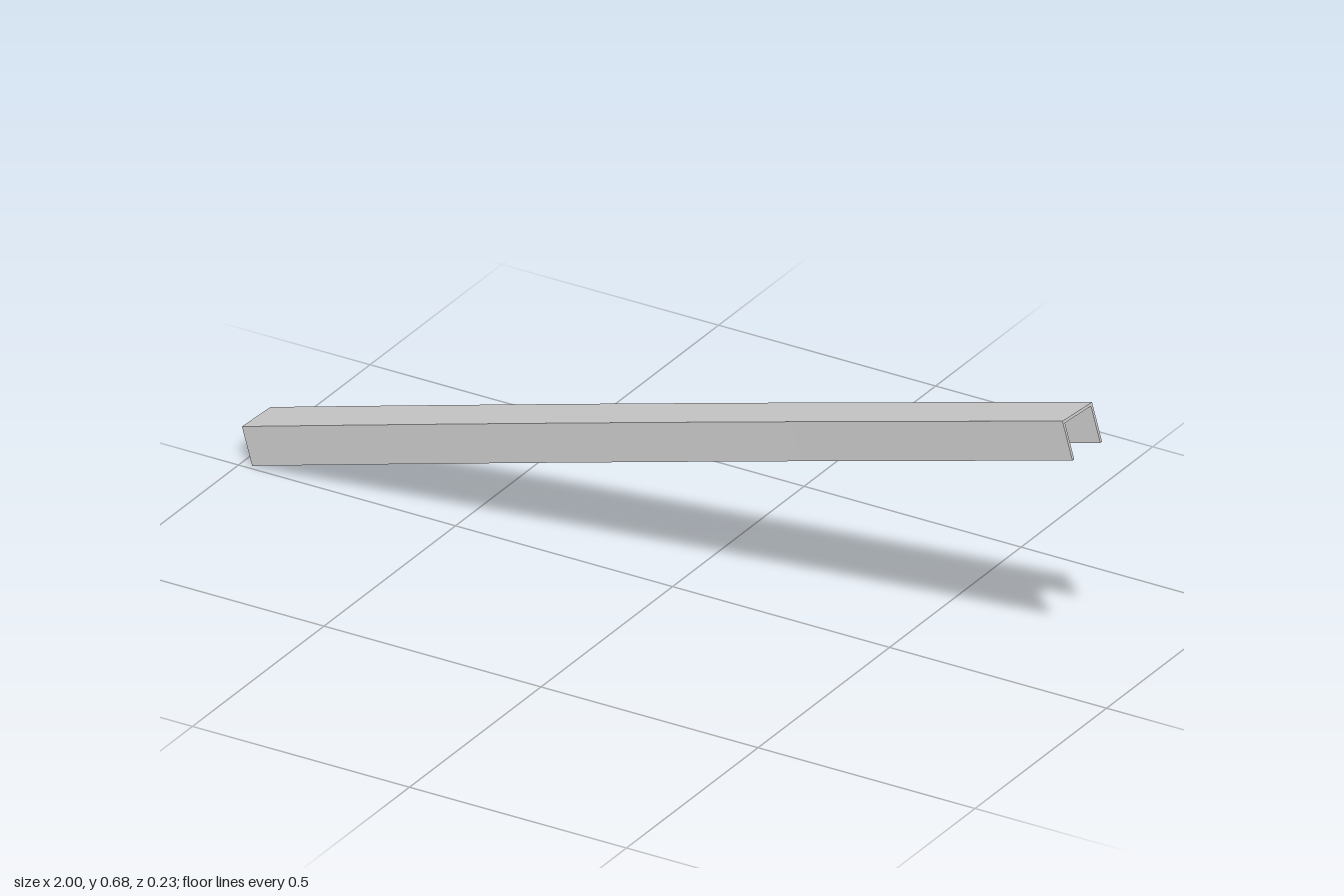
import * as THREE from 'three';

const WIDTH = 0.1, HEIGHT = 0.084, WALL = 0.006;

// Centre line of the channel's top face: a steady climb with a slight sideways bow
function pathPoint(t) {
  return new THREE.Vector3(
    -0.997 + 1.967 * t,
    0.081 + 0.598 * t,
    -0.062 + 0.124 * t - 0.028 * t * (1 - t)
  );
}

// Inverted U section, with its top face on y = 0
function channelSection() {
  const w = WIDTH / 2, i = w - WALL;
  return new THREE.Shape([
    [-w, 0], [-w, -HEIGHT], [-i, -HEIGHT], [-i, -WALL],
    [i, -WALL], [i, -HEIGHT], [w, -HEIGHT], [w, 0],
  ].map(([x, y]) => new THREE.Vector2(x, y)));
}

export function createModel() {
  const group = new THREE.Group();
  group.name = 'slopedChannel';

  // Extrude the section along z, then bend it onto the path
  const geometry = new THREE.ExtrudeGeometry(channelSection(), {
    depth: 1, steps: 24, bevelEnabled: false,
  });
  const pos = geometry.attributes.position;
  const up = new THREE.Vector3(0, 1, 0);
  for (let k = 0; k < pos.count; k++) {
    const t = pos.getZ(k);
    const tangent = pathPoint(t + 0.001).sub(pathPoint(t - 0.001)).normalize();
    const side = up.clone().cross(tangent).normalize();
    const normal = tangent.clone().cross(side);
    const p = pathPoint(t)
      .addScaledVector(side, pos.getX(k))
      .addScaledVector(normal, pos.getY(k));
    pos.setXYZ(k, p.x, p.y, p.z);
  }
  geometry.computeVertexNormals();

  const channel = new THREE.Mesh(
    geometry,
    new THREE.MeshStandardMaterial({ color: 0xcccccc })
  );
  channel.name = 'channel';
  group.add(channel);
  return group;
}
